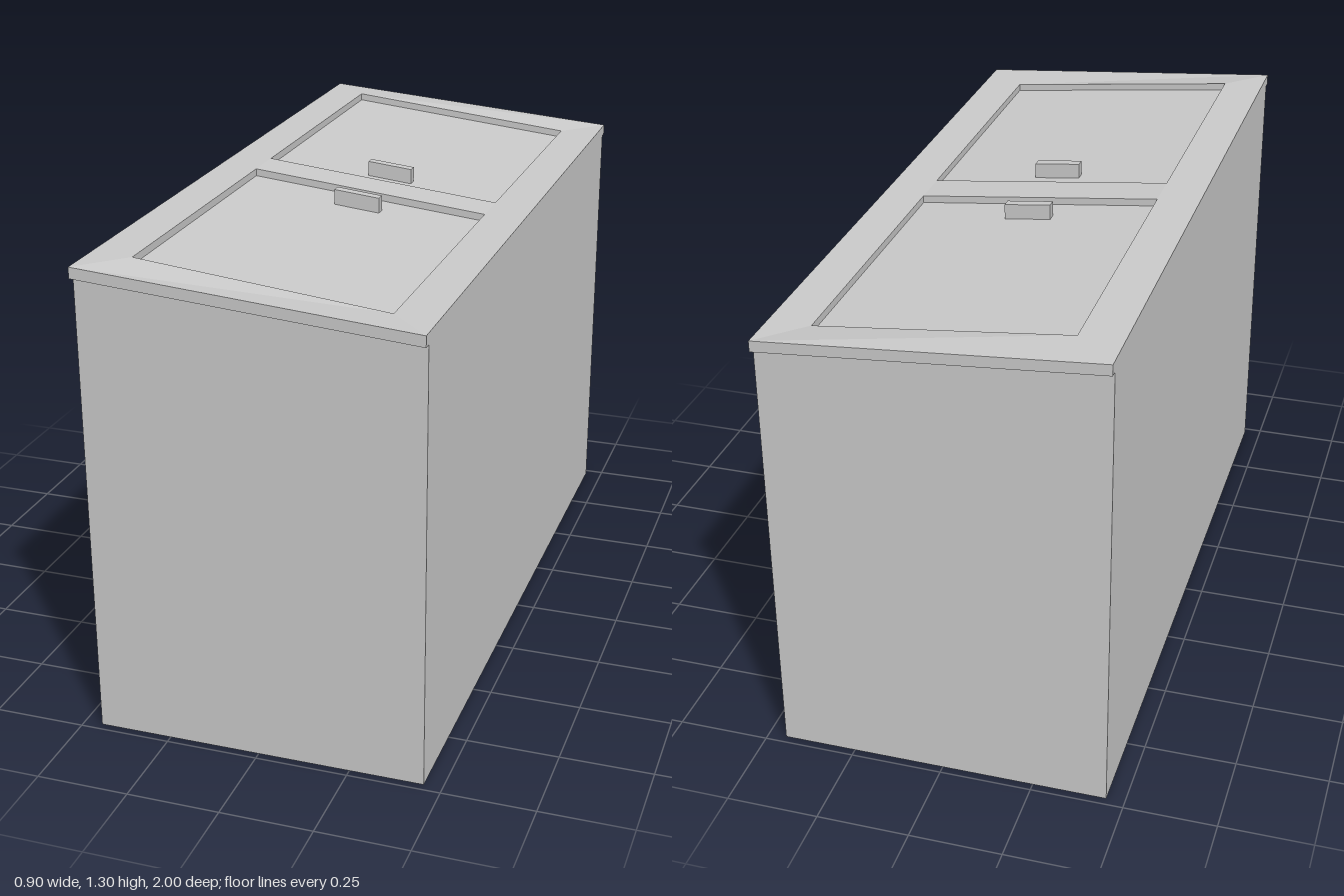
import * as THREE from 'three';

const material = new THREE.MeshStandardMaterial({ color: 0xcccccc, flatShading: true });
const PANEL_X = 0.335;               // half width of the recessed doors
const PANEL_Z = [0.058, 0.883];      // door extent along each half

// Tilts a flat geometry: high on the -x side, low on the +x side.
function slope(geometry, onlyAbove = -1) {
  const p = geometry.attributes.position;
  for (let i = 0; i < p.count; i++) {
    if (p.getY(i) < onlyAbove) continue;
    const t = THREE.MathUtils.clamp(p.getX(i) / PANEL_X, -1, 1);
    p.setY(i, p.getY(i) - 0.035 * t);
  }
  geometry.computeVertexNormals();
  return geometry;
}

// Box given by its lower and upper corners.
function box(x0, y0, z0, x1, y1, z1) {
  return new THREE.BoxGeometry(x1 - x0, y1 - y0, z1 - z0)
    .translate((x0 + x1) / 2, (y0 + y1) / 2, (z0 + z1) / 2);
}

function rectangle(path, x0, y0, x1, y1) {
  path.moveTo(x0, y0);
  path.lineTo(x1, y0);
  path.lineTo(x1, y1);
  path.lineTo(x0, y1);
  path.closePath();
  return path;
}

export function createModel() {
  const model = new THREE.Group();
  model.name = 'storageBin';
  const add = (name, geometry) => {
    const mesh = new THREE.Mesh(geometry, material);
    mesh.name = name;
    model.add(mesh);
  };

  // Body with a slanted top
  add('body', slope(box(-0.45, 0, -0.978, 0.45, 1.235, 0.978), 0.5));

  // Lid frame with two door openings
  const frame = rectangle(new THREE.Shape(), -0.45, -1, 0.45, 1);
  for (const side of [-1, 1]) {
    const z = PANEL_Z.map((v) => v * side).sort((a, b) => a - b);
    frame.holes.push(rectangle(new THREE.Path(), -PANEL_X, z[0], PANEL_X, z[1]));
  }
  const frameGeometry = new THREE.ExtrudeGeometry(frame, { depth: 0.03, bevelEnabled: false });
  add('lidFrame', slope(frameGeometry.rotateX(-Math.PI / 2).translate(0, 1.235, 0)));

  // Recessed doors, each with a handle near the middle bar
  for (const [label, side] of [['front', 1], ['back', -1]]) {
    const [z0, z1] = PANEL_Z.map((v) => v * side).sort((a, b) => a - b);
    add(label + 'Door', slope(box(-PANEL_X, 1.235, z0, PANEL_X, 1.245, z1)));
    const [h0, h1] = [0.136, 0.163].map((v) => v * side).sort((a, b) => a - b);
    add(label + 'Handle', slope(box(-0.064, 1.24, h0, 0.064, 1.287, h1)));
  }
  return model;
}
